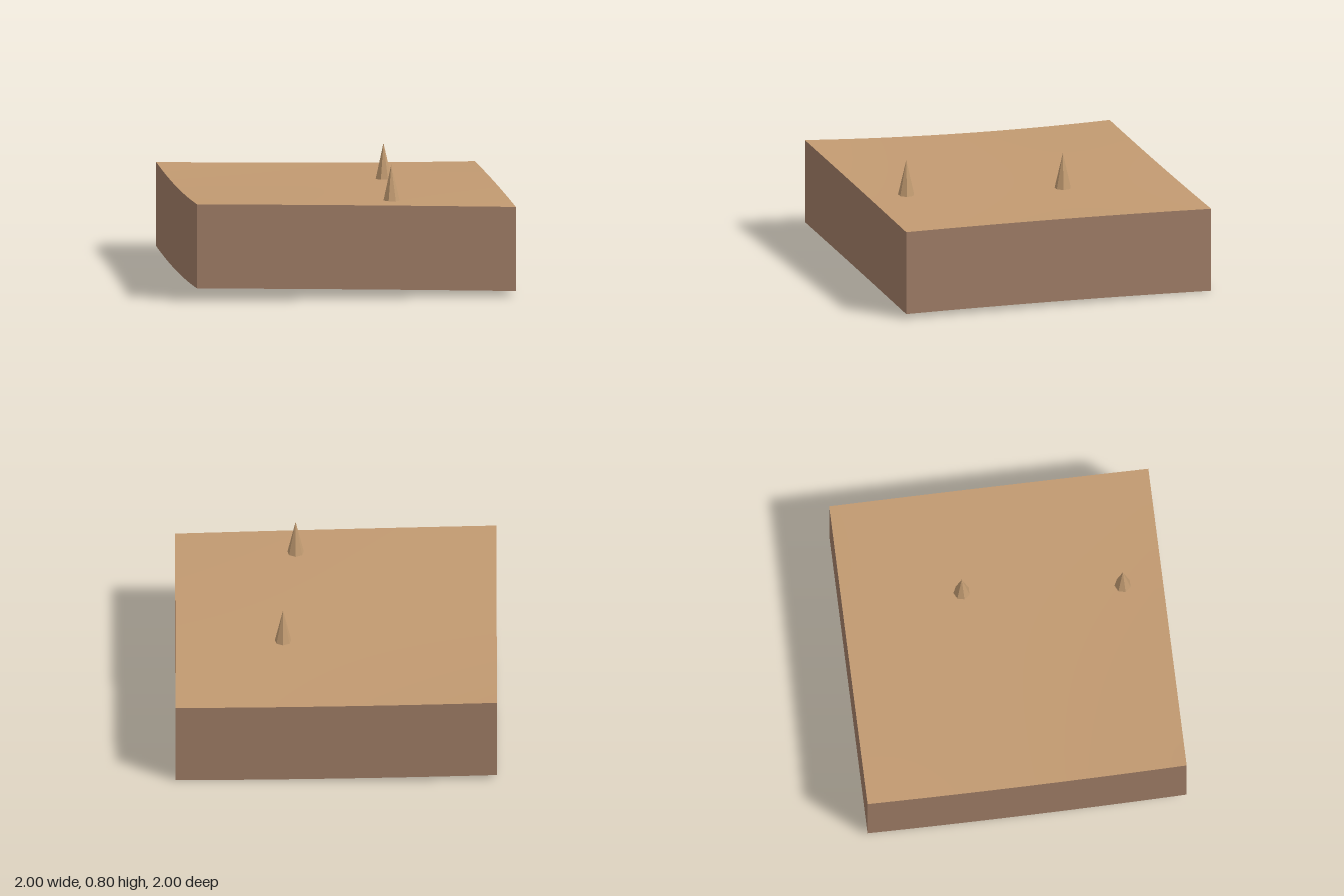
import * as THREE from 'three';

const DEPTH = 0.53;

// Surface heights at x = -1, 0, 1 for the back, middle and front rows
const HEIGHTS = [
  [0.566, 0.541, 0.53],
  [0.567, 0.56, 0.552],
  [0.615, 0.589, 0.558],
];

// Quadratic through three values at t = -1, 0, 1
const blend = ([a, b, c], t) => b + ((c - a) / 2) * t + ((a + c) / 2 - b) * t * t;
const heightAt = (x, z) => blend(HEIGHTS.map((row) => blend(row, x)), z);

export function createModel() {
  const sand = new THREE.MeshStandardMaterial({ color: 0xc29a71, side: THREE.DoubleSide });
  sand.name = 'sand';
  const earth = new THREE.MeshStandardMaterial({ color: 0xa17e67, side: THREE.DoubleSide });
  earth.name = 'earth';
  const spikeTan = new THREE.MeshStandardMaterial({ color: 0xc49d73, flatShading: true });
  spikeTan.name = 'spike tan';

  const group = new THREE.Group();
  group.name = 'terrainTile';
  const add = (geometry, material, name) => {
    const mesh = new THREE.Mesh(geometry, material);
    mesh.name = name;
    group.add(mesh);
    return mesh;
  };

  // Gently rolling ground
  const ground = new THREE.PlaneGeometry(2, 2, 32, 32).rotateX(-Math.PI / 2);
  const gp = ground.attributes.position;
  for (let i = 0; i < gp.count; i++) gp.setY(i, heightAt(gp.getX(i), gp.getZ(i)));
  ground.computeVertexNormals();
  add(ground, sand, 'ground');

  // Four skirt walls of constant depth, open underneath
  ['frontWall', 'leftWall', 'backWall', 'rightWall'].forEach((name, side) => {
    const wall = new THREE.PlaneGeometry(2, DEPTH, 32, 1)
      .translate(0, -DEPTH / 2, 1)
      .rotateY((side * Math.PI) / 2);
    const p = wall.attributes.position;
    for (let i = 0; i < p.count; i++) p.setY(i, p.getY(i) + heightAt(p.getX(i), p.getZ(i)));
    add(wall, earth, name);
  });

  // Seven-sided spikes standing on the ground
  const spike = new THREE.ConeGeometry(0.052, 0.225, 7, 1).rotateY(Math.PI).translate(0, 0.1125, 0);
  [[0.25, 0.75], [0.33, -0.25]].forEach(([x, z], i) => {
    add(spike, spikeTan, i ? 'backSpike' : 'frontSpike').position.set(x, heightAt(x, z), z);
  });

  return group;
}
